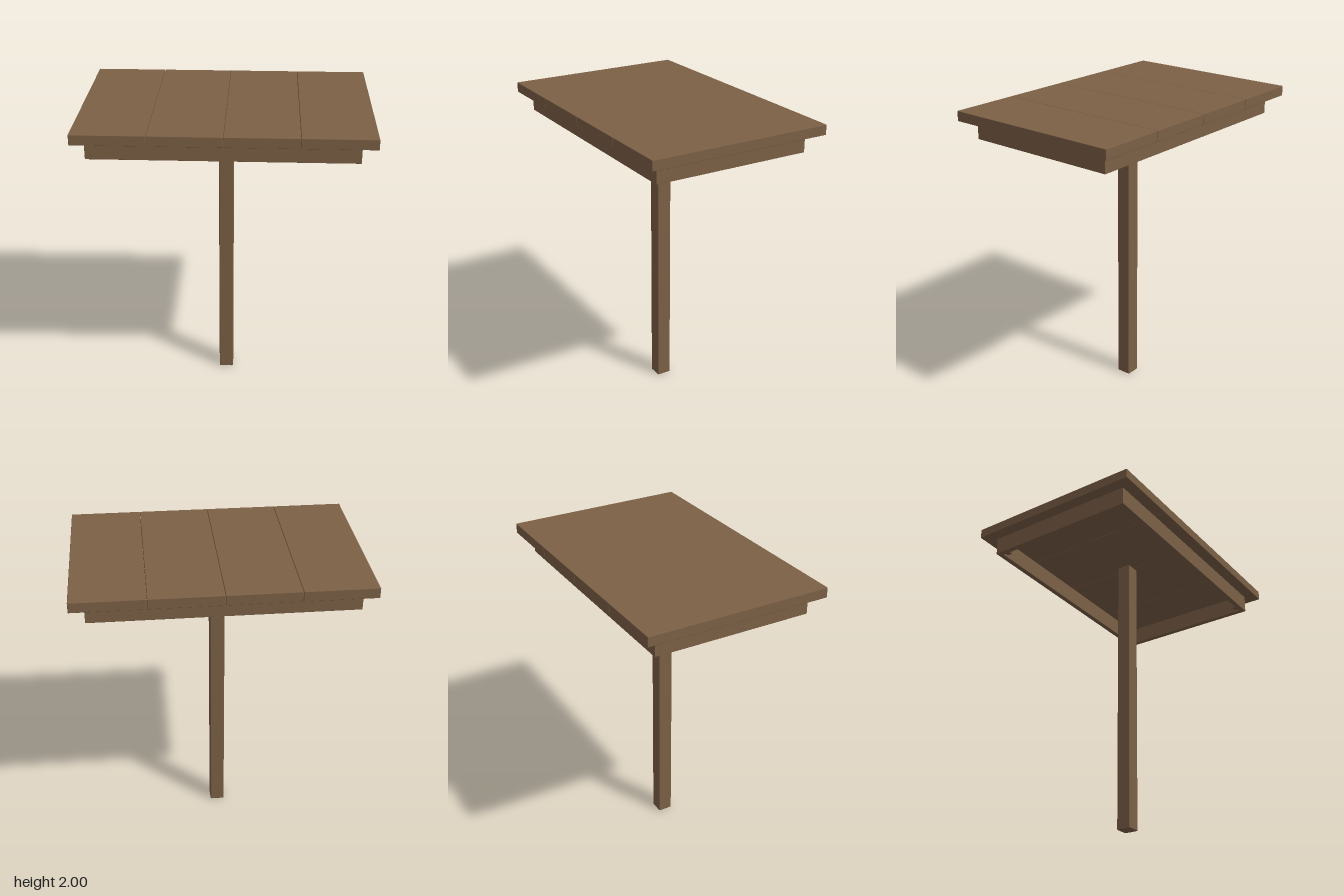
import * as THREE from 'three';
import { RoundedBoxGeometry } from 'three/addons/geometries/RoundedBoxGeometry.js';

export function createModel() {
  const model = new THREE.Group();
  model.name = 'pedestalTable';
  const wood = new THREE.MeshStandardMaterial({ color: 0x7c6046 });
  wood.name = 'brownWood';

  // Box given by its minimum and maximum corners, with slightly worn edges
  const beam = (name, min, max, bevel = 0.004) => {
    const size = max.map((v, i) => v - min[i]);
    const mesh = new THREE.Mesh(new RoundedBoxGeometry(...size, 1, bevel), wood);
    mesh.position.set(...max.map((v, i) => (v + min[i]) / 2));
    mesh.name = name;
    model.add(mesh);
  };

  // Four planks with narrow seams
  const seam = 0.001;
  for (let i = 0; i < 4; i++) {
    const x = -0.9 + i * 0.45;
    beam('topPlank' + (i + 1), [x + (i ? seam : 0), 1.935, -0.6], [x + 0.45 - (i < 3 ? seam : 0), 2, 0.598], 0.003);
  }

  // Open apron frame below the planks
  const [x0, x1, z0, z1, y0, y1, t] = [-0.825, 0.812, -0.515, 0.52, 1.815, 1.936, 0.035];
  beam('frontApron', [x0, y0, z1 - t], [x1, y1, z1], 0.002);
  beam('backApron', [x0, y0, z0], [x1, y1, z0 + t], 0.002);
  beam('rightApron', [x0, y0, z0 + t - 0.003], [x0 + t, y1, z1 - t + 0.003], 0.002);
  beam('leftApron', [x1 - t, y0, z0 + t - 0.003], [x1, y1, z1 - t + 0.003], 0.002);

  // Small blocks in the inner corners of the frame
  const b = 0.04;
  for (const x of [x0 + t, x1 - t - b]) {
    for (const z of [z0 + t, z1 - t - b]) {
      beam('cornerBlock', [x, y0 + 0.015, z], [x + b, y1, z + b]);
    }
  }

  // Central square post
  beam('post', [-0.053, 0, -0.047], [0.042, 1.937, 0.05], 0.006);

  return model;
}
